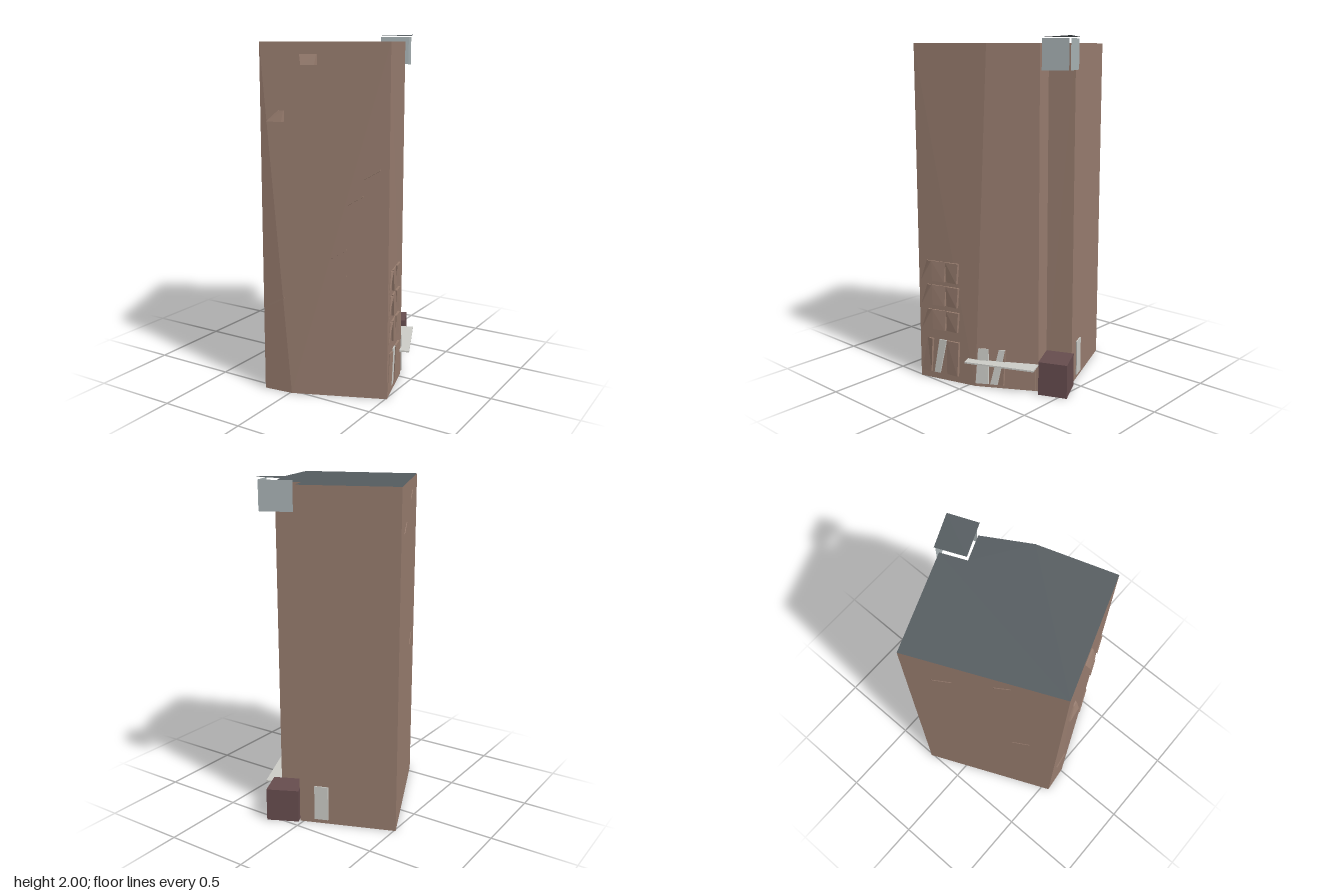
import * as THREE from 'three';

const mat = (name, color) => new THREE.MeshStandardMaterial({ name, color, side: THREE.DoubleSide, flatShading: true });

export function createModel() {
  const model = new THREE.Group();
  const brick = mat('brick', 0x977c6e);
  const slate = mat('slate', 0x545b5f);
  const pale = mat('paleDoor', 0xcbcbc6);
  const steel = mat('steelPanel', 0xa8b2b4);
  const maroon = mat('maroonBox', 0x664c4e);
  const H = 1.96;

  const add = (name, geometry, material) => {
    const mesh = new THREE.Mesh(geometry, material);
    mesh.name = name;
    model.add(mesh);
    return mesh;
  };
  // Faces given as corner loops, each cut into a fan
  const fans = (loops) => {
    const p = [];
    for (const l of loops)
      for (let i = 1; i < l.length - 1; i++) p.push(...l[0], ...l[i], ...l[i + 1]);
    const g = new THREE.BufferGeometry();
    g.setAttribute('position', new THREE.Float32BufferAttribute(p, 3));
    g.computeVertexNormals();
    return g;
  };
  const planShape = (pts) => new THREE.Shape(pts.map(([x, z]) => new THREE.Vector2(x, -z)));
  const prism = (pts, y, depth) => new THREE.ExtrudeGeometry(planShape(pts), { depth, bevelEnabled: false })
    .rotateX(-Math.PI / 2).translate(0, y, 0);

  // Plan corners, anticlockwise seen from above
  const frontLeft = [-0.16, 0.547], frontRight = [0.508, 0.315];
  const sideTop = [0.37, -0.11], sideBase = [0.408, -0.04], frontBase = [0.01, 0.527];
  const notchA = [0.22, -0.36], notchIn = [0.08, -0.305], notchB = [0.02, -0.445], backCorner = [-0.51, -0.235];
  const top = ([x, z]) => [x, H, z];
  const base = ([x, z]) => [x, 0, z];
  const flat = (a, b) => [base(a), base(b), top(b), top(a)];

  // Tower walls, with the front and side bulging towards the ground; open underneath
  const walls = add('towerWalls', fans([
    [base(frontLeft), base(frontBase), top(frontLeft)],
    [base(frontBase), top(frontRight), top(frontLeft)],
    [base(frontBase), base(frontRight), top(frontRight)],
    [base(frontRight), base(sideBase), top(frontRight)],
    [base(sideBase), top(sideTop), top(frontRight)],
    [base(sideBase), base(notchA), top(notchA), top(sideTop)],
    flat(notchA, notchIn), flat(notchIn, notchB), flat(notchB, backCorner), flat(backCorner, frontLeft),
  ]), brick);

  // Flat roof
  add('roof', new THREE.ShapeGeometry(planShape(
    [frontLeft, frontRight, sideTop, notchA, notchIn, notchB, backCorner]))
    .rotateX(-Math.PI / 2).translate(0, H, 0), slate);

  // Raised plate on a wall: corners [u, y, lift], u running along x (front, back) or z (side)
  const ray = new THREE.Raycaster();
  const out = {
    front: new THREE.Vector3(0, 0, 1), back: new THREE.Vector3(0, 0, -1), side: new THREE.Vector3(1, 0, 0),
  };
  const plate = (name, face, corners, material) => {
    const d = out[face];
    const pairs = corners.map(([u, y, lift = 0.007]) => {
      const from = face === 'side' ? new THREE.Vector3(0, y, u) : new THREE.Vector3(u, y, 0);
      from.addScaledVector(d, 3);
      ray.set(from, d.clone().negate());
      const hit = ray.intersectObject(walls)[0];
      const p = hit ? hit.point : from.addScaledVector(d, -2.6);
      return [p.clone().addScaledVector(d, lift).toArray(), p.toArray()];
    });
    let loops = [pairs.map((q) => q[0])];
    pairs.forEach((q, i) => {
      const n = pairs[(i + 1) % pairs.length];
      loops.push([q[0], q[1], n[1], n[0]]);
    });
    if (face === 'side') loops = loops.map((l) => l.slice().reverse());
    add(name, fans(loops), material);
  };

  // Wall cracks as thin slanting ridges
  const cracks = [
    [-0.315, 1.84, -0.28, 1.89], [-0.45, 1.69, -0.405, 1.745], [-0.275, 0.95, -0.23, 1.005],
    [0.385, 1.24, 0.465, 1.3], [0.305, 1.1, 0.38, 1.155], [0.22, 0.8, 0.3, 0.86],
    [0.22, 0.655, 0.3, 0.71], [-0.12, 0.505, -0.03, 0.565],
  ];
  for (const [x0, y0, x1, y1] of cracks)
    plate('wallCrack', 'front', [[x0, y0], [x1, y1 - 0.008], [x1, y1], [x0, y0 + 0.008]], brick);

  // Loose bricks standing out of the front
  plate('looseBrick', 'front', [[0.07, 1.84, 0.03], [0.14, 1.84, 0.03], [0.14, 1.895, 0.01], [0.05, 1.895, 0.005]], brick);
  plate('looseBrick', 'front', [[-0.12, 1.54, 0.012], [-0.03, 1.54, 0.03], [-0.03, 1.6, 0.01], [-0.06, 1.6, 0.005]], brick);

  // Side windows in three rows of three, and the shop front below them
  for (const y of [0.31, 0.46, 0.605]) {
    const t = y + 0.12;
    plate('window', 'side', [[0.3, y, 0.004], [0.235, t, 0.015], [0.26, t, 0.004]], brick);
    plate('window', 'side', [[0.22, y, 0.015], [0.145, y, 0.012], [0.14, t, 0.004], [0.225, t, 0.012]], brick);
    plate('window', 'side', [[0.135, y, 0.004], [0.065, y, 0.014], [0.055, t, 0.014], [0.135, t, 0.012]], brick);
  }
  plate('shopPanel', 'side', [[0.305, 0.04, 0.003], [0.24, 0.04, 0.01], [0.225, 0.25, 0.015], [0.265, 0.25, 0.004]], brick);
  plate('shopDoor', 'side', [[0.222, 0.04], [0.185, 0.04], [0.14, 0.25], [0.185, 0.25]], pale);
  plate('shopPanel', 'side', [[0.14, 0.04, 0.004], [0.065, 0.04, 0.014], [0.055, 0.25, 0.014], [0.135, 0.25, 0.01]], brick);

  // Side and back entrances
  plate('sideDoor', 'side', [[-0.045, 0.02], [-0.11, 0.02], [-0.11, 0.235], [-0.06, 0.235]], pale);
  plate('sideDoor', 'side', [[-0.12, 0.02], [-0.155, 0.02], [-0.195, 0.235], [-0.165, 0.235]], pale);
  plate('sidePanel', 'side', [[-0.16, 0.02, 0.005], [-0.19, 0.02, 0.012], [-0.197, 0.235, 0.008]], brick);
  plate('sidePanel', 'side', [[-0.28, 0.005, 0.005], [-0.35, 0.005, 0.008], [-0.35, 0.15, 0.005]], brick);
  plate('backDoor', 'back', [[-0.065, 0.025], [-0.14, 0.025], [-0.14, 0.235], [-0.065, 0.235]], pale);

  // Canopy over the side entrance
  add('canopy', prism([[0.218, -0.36], [0.383, 0.02], [0.475, -0.02], [0.31, -0.4]], 0.155, 0.009), pale);

  // Store box at the foot of the notched corner
  add('cornerBox', prism([[0.085, -0.31], [0.255, -0.39], [0.19, -0.545], [0.02, -0.46]], 0, 0.197), maroon);

  // Open rooftop booth: two panels and a thin lid
  const panel = (a, b) => [[a[0], 1.82, a[1]], [b[0], 1.82, b[1]], [b[0], 1.985, b[1]], [a[0], 1.985, a[1]]];
  add('boothPanels', fans([
    panel([0.247, -0.395], [0.193, -0.535]),
    panel([0.185, -0.54], [0.017, -0.465]),
  ]), steel);
  add('boothLid', fans([[[0.08, 1.992, -0.31], [0.267, 1.99, -0.39], [0.197, 2, -0.55], [0.012, 1.992, -0.47]]]), slate);

  return model;
}
